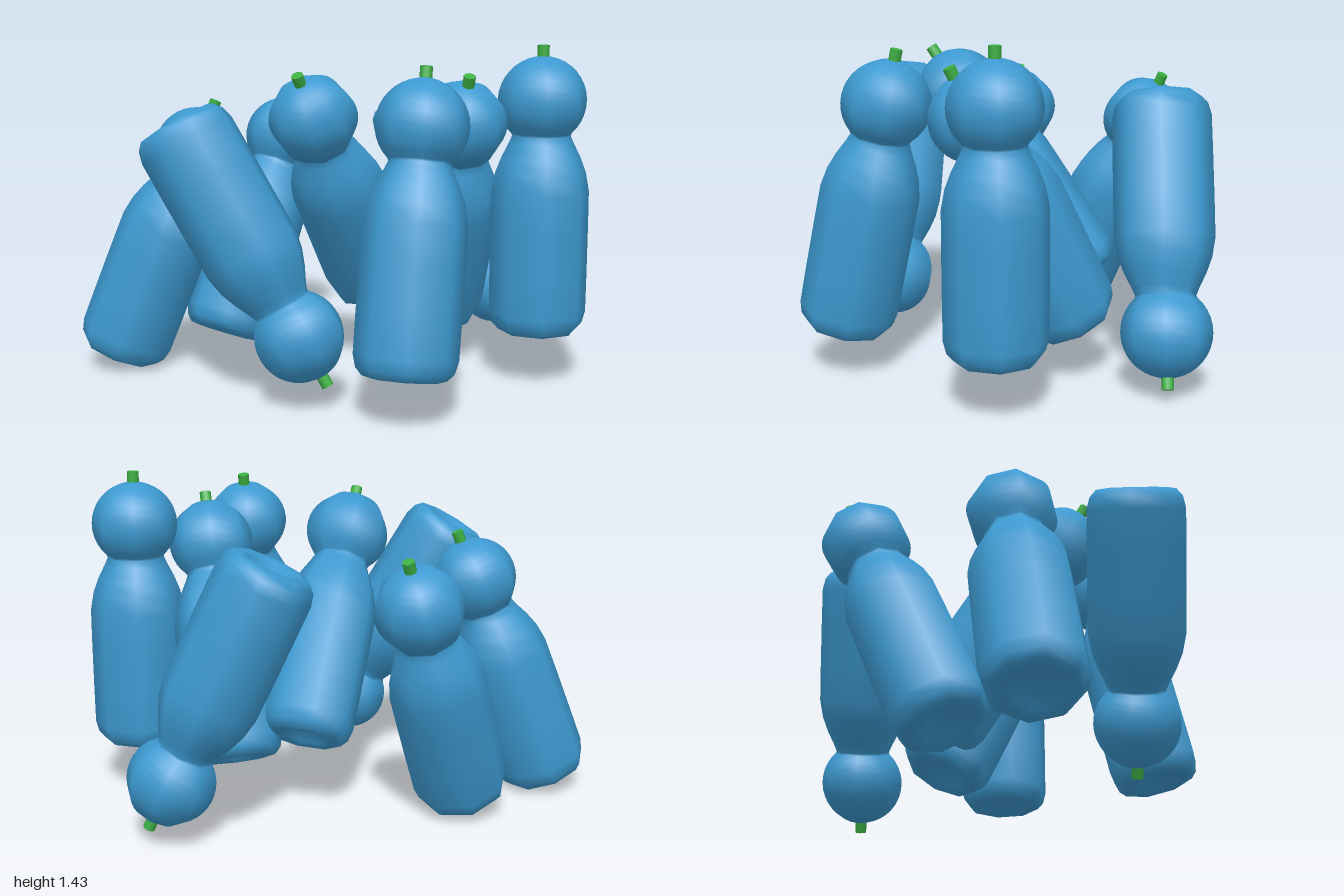
import * as THREE from 'three';

const HEAD_Y = 0.98;   // height of the ball head's centre above the base
const HEAD_R = 0.185;
const SIDES = 8;

// Outline of one bottle: dented base, straight body, neck and ball head
function bottleProfile() {
  const pts = [
    [0, 0.05], [0.06, 0.045], [0.1, 0.012], [0.13, 0], [0.165, 0.005], [0.192, 0.035], [0.205, 0.085],
    [0.206, 0.25], [0.206, 0.45], [0.205, 0.6], [0.19, 0.68], [0.165, 0.745], [0.135, 0.805], [0.122, 0.835],
  ].map(([r, y]) => new THREE.Vector2(r, y));
  const steps = 14, start = -0.82;
  for (let i = 0; i <= steps; i++) {
    const a = start + (Math.PI / 2 - start) * i / steps;
    pts.push(new THREE.Vector2(Math.max(0, HEAD_R * Math.cos(a)), HEAD_Y + HEAD_R * Math.sin(a)));
  }
  return pts;
}

// Each bottle: head centre, then the direction from base to head
const PLACES = [
  { head: [0.413, 1.18, 0.705], dir: [0, 1, 0] },
  { head: [-0.23, 1.12, 0.62], dir: [0.19, 0.977, -0.09] },
  { head: [0.14, 1.085, 0.507], dir: [-0.245, 0.9, 0.36] },
  { head: [-0.307, 1.11, 0.085], dir: [-0.55, 0.81, 0.18] },
  { head: [0.18, 0.945, -0.64], dir: [0.42, 0.907, -0.03] },
  { head: [-0.457, 0.945, -0.5], dir: [0.27, 0.93, 0.25] },
  // upside down
  { head: [-0.56, 0.275, 0.27], dir: [0.275, -0.86, 0.42] },
  { head: [0.813, 0.245, 0.125], dir: [0.264, -0.904, 0.335] },
];

export function createModel() {
  const model = new THREE.Group();
  model.name = 'bottles';

  const blue = new THREE.MeshStandardMaterial({ color: 0x3d9ad1 });
  const green = new THREE.MeshStandardMaterial({ color: 0x3cb043 });
  const bodyGeometry = new THREE.LatheGeometry(bottleProfile(), SIDES);
  const stubGeometry = new THREE.CylinderGeometry(0.025, 0.025, 0.07, SIDES);
  const up = new THREE.Vector3(0, 1, 0);

  PLACES.forEach(({ head, dir }, i) => {
    const bottle = new THREE.Group();
    bottle.name = 'bottle' + (i + 1);

    const body = new THREE.Mesh(bodyGeometry, blue);
    body.name = 'bottleBody';

    // Small stub on top of the head
    const stub = new THREE.Mesh(stubGeometry, green);
    stub.name = 'topStub';
    stub.position.y = 1.175;
    bottle.add(body, stub);

    const axis = new THREE.Vector3(...dir).normalize();
    bottle.quaternion.setFromUnitVectors(up, axis);
    bottle.position.set(...head).addScaledVector(axis, -HEAD_Y);
    model.add(bottle);
  });
  return model;
}
